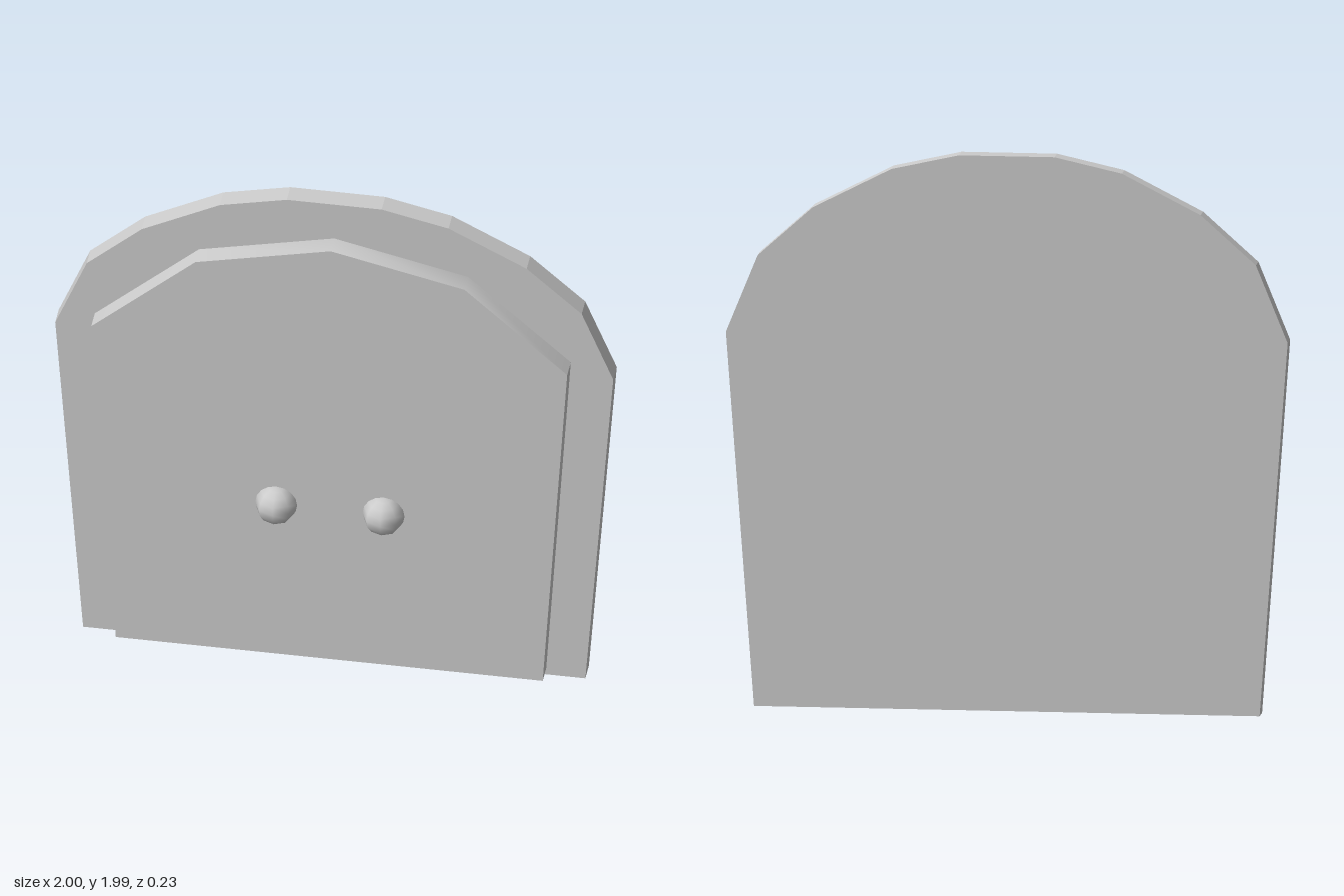
import * as THREE from 'three';
import { toCreasedNormals } from 'three/addons/utils/BufferGeometryUtils.js';

const material = new THREE.MeshStandardMaterial({ color: 0xcccccc });

// Flat panel: outline in x, y, extruded from z0 to z1
function panel(name, outline, z0, z1, crease) {
  const shape = new THREE.Shape(outline.map(([x, y]) => new THREE.Vector2(x, y)));
  let geometry = new THREE.ExtrudeGeometry(shape, { depth: z1 - z0, bevelEnabled: false });
  if (crease) geometry = toCreasedNormals(geometry, crease);
  const mesh = new THREE.Mesh(geometry, material);
  mesh.position.z = z0;
  mesh.name = name;
  return mesh;
}

export function createModel() {
  const group = new THREE.Group();
  group.name = 'archedDoor';

  // Faceted arched back slab, right half mirrored to the left
  const half = [[0.9, 0], [1, 1.34], [0.887, 1.617], [0.69, 1.793], [0.41, 1.936], [0.17, 1.99]];
  const mirrored = half.map(([x, y]) => [-x, y]).reverse();
  group.add(panel('backSlab', [...half, ...mirrored], -0.113, -0.038));

  // Door leaf with a softly shaded arch, slightly off centre
  const leaf = [
    [-0.77, 0.028], [0.76, 0.028], [0.848, 1.398], [0.48, 1.73],
    [0, 1.84], [-0.485, 1.73], [-0.858, 1.398],
  ];
  group.add(panel('doorLeaf', leaf, -0.038, 0.038, 0.52));

  // Pair of round knobs, half sunk into the leaf
  for (const [name, x] of [['rightKnob', -0.195], ['leftKnob', 0.19]]) {
    const knob = new THREE.Mesh(new THREE.SphereGeometry(0.075, 8, 8), material);
    knob.position.set(x, 0.695, 0.038);
    knob.name = name;
    group.add(knob);
  }
  return group;
}
